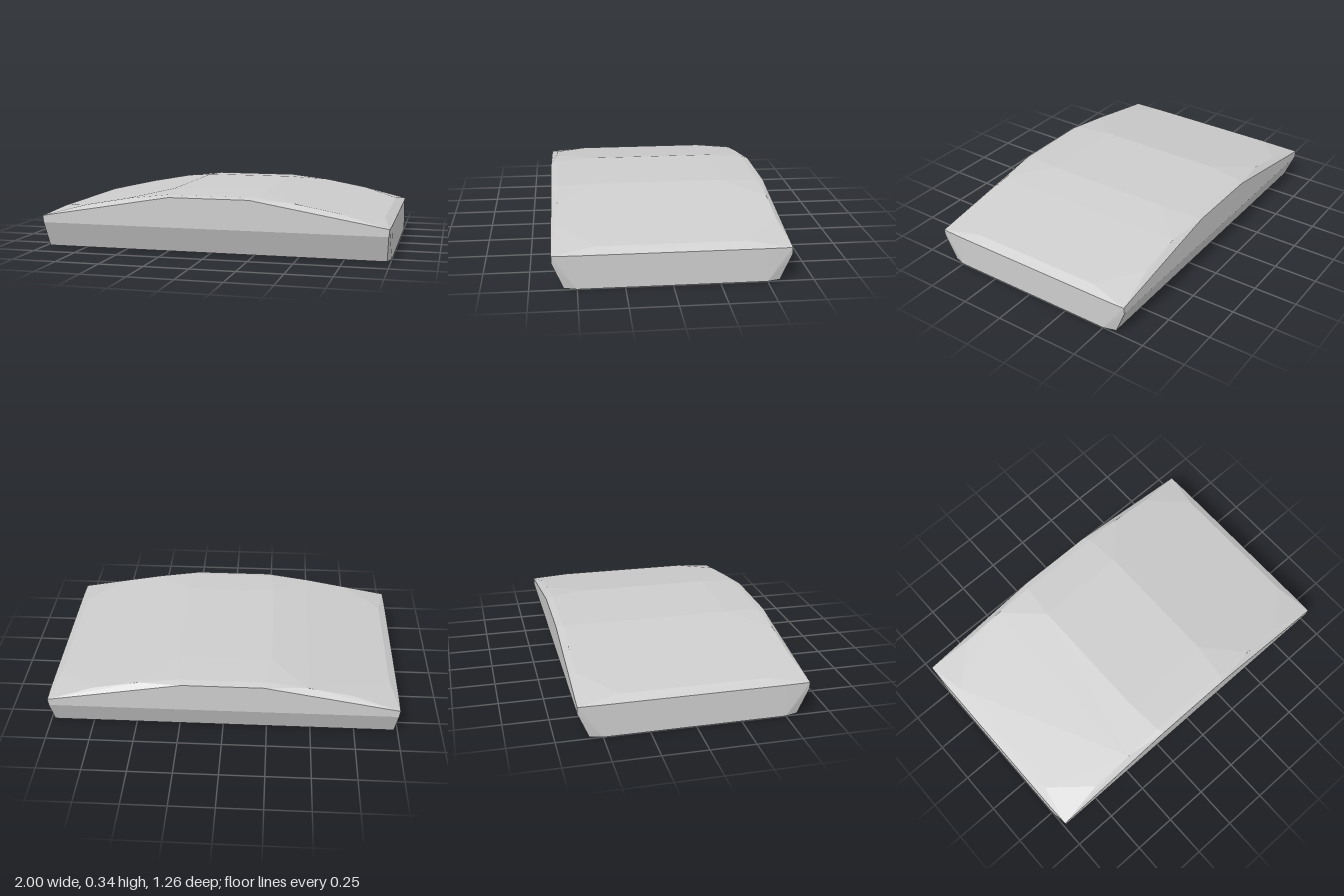
import * as THREE from 'three';
import { ConvexGeometry } from 'three/addons/geometries/ConvexGeometry.js';

// One quarter of the faceted slab; mirrored in x and z
const quarter = [
  // underside, with clipped corners
  [0.98, 0, 0.57], [1, 0, 0.5],
  // vertical end band
  [0.99, 0.145, 0.63], [0.995, 0.185, 0.63], [0.23, 0.315, 0.63],
  // bevel above the end band
  [0.25, 0.325, 0.59], [0.48, 0.299, 0.595], [0.73, 0.254, 0.595],
  // domed roof
  [0.27, 0.335, 0.38], [0.95, 0.215, 0.4],
  // top of the side walls
  [0.998, 0.185, 0.5],
];

export function createModel() {
  const group = new THREE.Group();
  const grey = new THREE.MeshStandardMaterial({ color: 0xcccccc });
  grey.name = 'light grey';
  grey.flatShading = true;

  const points = [];
  for (const sx of [-1, 1]) {
    for (const sz of [-1, 1]) {
      for (const [x, y, z] of quarter) points.push(new THREE.Vector3(sx * x, y, sz * z));
    }
  }
  const slab = new THREE.Mesh(new ConvexGeometry(points), grey);
  slab.name = 'domedSlab';
  group.add(slab);
  return group;
}
